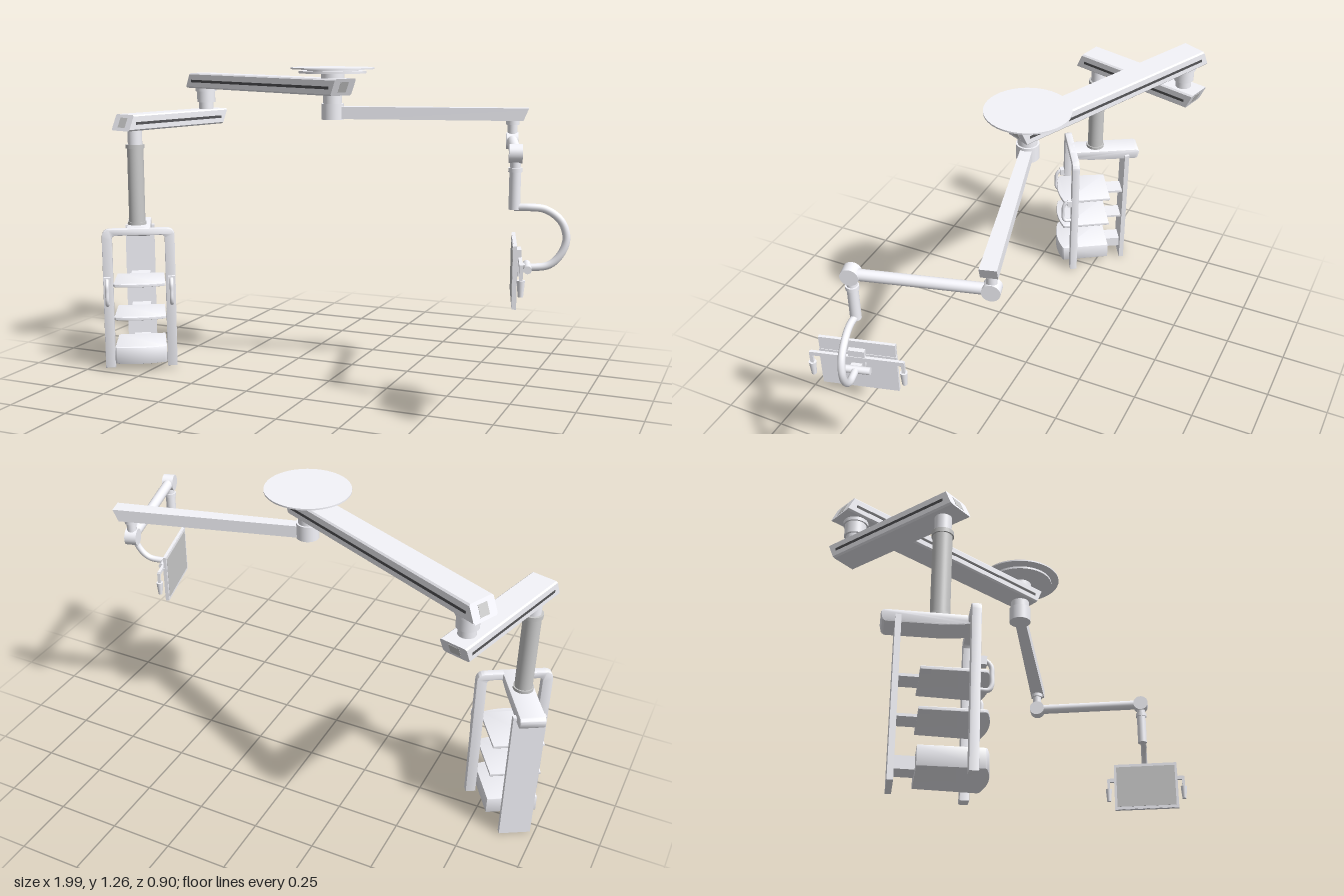
import * as THREE from 'three';
import { toCreasedNormals } from 'three/addons/utils/BufferGeometryUtils.js';

const paint = (color) => new THREE.MeshStandardMaterial({ color, side: THREE.DoubleSide });
const light = paint(0xf5f5fb), grey = paint(0xcccccc), dark = paint(0x555558);
const V = (x, y, z) => new THREE.Vector3(x, y, z);

function add(parent, name, geo, x = 0, y = 0, z = 0, mat = light) {
  const m = new THREE.Mesh(geo, mat);
  m.name = name;
  m.position.set(x, y, z);
  parent.add(m);
  return m;
}
const box = (p, name, w, h, d, x, y, z, mat) => add(p, name, new THREE.BoxGeometry(w, h, d), x, y, z, mat);
// Upright cylinder between two heights
const post = (p, name, r, y0, y1, [x, z], mat) =>
  add(p, name, new THREE.CylinderGeometry(r, r, y1 - y0, 40), x, (y0 + y1) / 2, z, mat);
const tube = (p, name, pts, r, n = 40) =>
  add(p, name, new THREE.TubeGeometry(new THREE.CatmullRomCurve3(pts), n, r, 14));
const extrude = (shape, depth, bevel = 0) => toCreasedNormals(new THREE.ExtrudeGeometry(shape, {
  depth, curveSegments: 16, bevelEnabled: bevel > 0, bevelSize: bevel, bevelThickness: bevel,
  bevelOffset: -bevel, bevelSegments: 2 }), 0.6);

// Group whose +z points along (dx, dz)
function aimed(parent, name, x, y, z, dx, dz) {
  const g = new THREE.Group();
  g.name = name;
  g.position.set(x, y, z);
  g.rotation.y = Math.atan2(dx, dz);
  parent.add(g);
  return g;
}

// Heavy boom: chamfered bar with raked ends, dark side slots and end panels
function boom(root, name, from, to, y, w, over) {
  const dx = to[0] - from[0], dz = to[1] - from[1], len = Math.hypot(dx, dz);
  const g = aimed(root, name, from[0], y, from[1], dx, dz);
  const h = 0.033, c = 0.006;
  const section = new THREE.Shape([[w - c, -h], [w, -h + c], [w, h - c], [w - c, h], [c - w, h], [-w, h - c], [-w, c - h], [c - w, -h]]
    .map(([px, py]) => new THREE.Vector2(px, py)));
  const rake = (geo) => {
    const p = geo.attributes.position;
    for (let i = 0; i < p.count; i++) p.setZ(i, p.getZ(i) - p.getY(i) * 0.45);
    geo.computeVertexNormals();
    return geo;
  };
  const total = len + 2 * over;
  add(g, name + 'Bar', rake(extrude(section, total).translate(0, 0, -over)));
  for (const s of [-1, 1]) {
    box(g, name + 'Slot', 0.002, 0.011, total - 0.05, s * w, -0.002, len / 2, dark);
    const panel = new THREE.BoxGeometry(0.042, 0.04, 0.002).translate(0, 0, len / 2 + s * total / 2);
    add(g, name + 'EndPanel', rake(panel), 0, 0, 0, grey);
  }
}

function buildRack(root) {
  const g = aimed(root, 'rack', -0.8, 0, 0.141, 0.513, 0.858);
  // Cantilever that hangs the rack from the column
  const side = new THREE.Shape();
  side.moveTo(-0.01, 0.6);
  side.lineTo(0.285, 0.6);
  side.quadraticCurveTo(0.302, 0.598, 0.302, 0.585);
  side.lineTo(0.297, 0.562);
  side.quadraticCurveTo(0.292, 0.553, 0.28, 0.553);
  side.lineTo(0.1, 0.555);
  side.quadraticCurveTo(0.03, 0.558, -0.01, 0.572);
  add(g, 'rackCantilever', extrude(side, 0.088, 0.005).translate(0, 0, -0.044).rotateY(Math.PI / 2));

  // Inverted U frame with rounded shoulders
  const o = 0.149, i = 0.108, u = new THREE.Shape();
  u.moveTo(-o, 0.01);
  u.lineTo(-o, 0.565);
  u.quadraticCurveTo(-o, 0.6, -o + 0.035, 0.6);
  u.lineTo(o - 0.035, 0.6);
  u.quadraticCurveTo(o, 0.6, o, 0.565);
  u.lineTo(o, 0.01);
  u.lineTo(i, 0.01);
  u.lineTo(i, 0.555);
  u.quadraticCurveTo(i, 0.572, i - 0.016, 0.572);
  u.lineTo(-i + 0.016, 0.572);
  u.quadraticCurveTo(-i, 0.572, -i, 0.555);
  u.lineTo(-i, 0.01);
  add(g, 'frontFrame', extrude(u, 0.026, 0.003), 0, 0, -0.013);

  // Rear upright
  box(g, 'rearUpright', 0.124, 0.575, 0.02, 0, 0.2875, -0.245);

  // Shelves and base unit share one plan with a gently bowed front
  const plan = new THREE.Shape();
  plan.moveTo(-0.1, -0.17);
  plan.lineTo(0.1, -0.17);
  plan.lineTo(0.107, 0.035);
  plan.quadraticCurveTo(0.107, 0.046, 0.096, 0.048);
  plan.quadraticCurveTo(0, 0.078, -0.096, 0.048);
  plan.quadraticCurveTo(-0.107, 0.046, -0.107, 0.035);
  const slab = (name, top, h, bevel) =>
    add(g, name, extrude(plan, h - 2 * bevel, bevel).rotateX(Math.PI / 2), 0, top - bevel, 0);
  for (const y of [0.235, 0.375]) {
    slab('shelf', y, 0.013, 0.003);
    box(g, 'shelfBracket', 0.08, 0.01, 0.07, 0, y - 0.007, -0.2);
  }
  slab('baseUnit', 0.105, 0.07, 0.003);
  box(g, 'baseBracket', 0.07, 0.045, 0.07, 0, 0.07, -0.2);

  // Grab handles on the posts
  for (const s of [-1, 1]) {
    const x = s * 0.132;
    tube(g, 'grabHandle', [V(x, 0.385, 0.01), V(x, 0.388, 0.034), V(x, 0.37, 0.05), V(x, 0.34, 0.052),
      V(x, 0.305, 0.052), V(x, 0.288, 0.042), V(x, 0.287, 0.01)], 0.008);
    box(g, 'handleLug', 0.03, 0.03, 0.03, x, 0.385, 0.02);
  }
}

function buildMonitor(root) {
  const g = aimed(root, 'monitor', 0.816, 0, 0.275, 0.966, -0.26);
  box(g, 'monitorBody', 0.284, 0.162, 0.014, 0, 0.556, 0);
  box(g, 'monitorTop', 0.28, 0.055, 0.012, 0, 0.664, -0.001);
  box(g, 'screenBezel', 0.282, 0.214, 0.002, 0, 0.583, -0.0075);
  box(g, 'screen', 0.262, 0.19, 0.002, 0, 0.583, -0.0085, grey);
  box(g, 'rearMount', 0.06, 0.07, 0.018, 0, 0.625, 0.014);
  box(g, 'mountArm', 0.04, 0.026, 0.035, 0, 0.592, 0.025);
  const hinge = new THREE.CylinderGeometry(0.014, 0.014, 0.11, 24).rotateZ(Math.PI / 2);
  add(g, 'tiltHinge', hinge, 0, 0.594, 0.045);
  // Cross bar with a hanging grip at each end
  box(g, 'handleBar', 0.34, 0.016, 0.012, 0, 0.625, 0.019);
  for (const s of [-1, 1]) {
    box(g, 'barEnd', 0.012, 0.05, 0.012, s * 0.168, 0.606, 0.019);
    add(g, 'grip', new THREE.CylinderGeometry(0.014, 0.009, 0.057, 24), s * 0.168, 0.554, 0.019);
  }
}

export function createModel() {
  const root = new THREE.Group();
  root.name = 'ceilingPendant';
  const hub = [0.01, -0.012], elbow = [-0.75, -0.365], column = [-0.86, 0.052];

  // Ceiling mount and central spindle
  post(root, 'ceilingPlate', 0.163, 1.259, 1.265, hub);
  post(root, 'plateSpacer', 0.1, 1.25, 1.26, hub);
  post(root, 'lowerPlate', 0.132, 1.243, 1.252, hub);
  post(root, 'spindle', 0.046, 1.215, 1.245, hub);
  post(root, 'spindleCollar', 0.037, 1.11, 1.16, hub);
  post(root, 'monitorHub', 0.044, 1.063, 1.125, hub);

  // Heavy supply booms, elbow and column
  boom(root, 'upperBoom', hub, elbow, 1.19, 0.055, 0.061);
  boom(root, 'lowerBoom', elbow, column, 1.032, 0.053, 0.065);
  post(root, 'elbowFlange', 0.046, 1.143, 1.16, elbow);
  post(root, 'elbowBody', 0.04, 1.095, 1.145, elbow);
  post(root, 'elbowNeck', 0.032, 1.06, 1.1, elbow);
  post(root, 'columnNeck', 0.03, 0.93, 1.005, column);
  post(root, 'columnCollar', 0.039, 0.922, 0.938, column, grey);
  post(root, 'column', 0.034, 0.6, 0.925, column, grey);
  post(root, 'columnFoot', 0.039, 0.595, 0.612, column, grey);
  buildRack(root);

  // Slim monitor arm, widening toward its raked outer end
  const wrist = [0.683, -0.195], drop = [0.81, 0.27];
  const slim = aimed(root, 'slimArm', hub[0], 1.09, hub[1], wrist[0] - hub[0], wrist[1] - hub[1]);
  const bar = new THREE.BoxGeometry(0.06, 0.048, 0.757).translate(0, 0, 0.3785);
  const p = bar.attributes.position;
  for (let i = 0; i < p.count; i++) {
    if (p.getZ(i) < 0.1) p.setX(i, p.getX(i) * 0.72);
    else if (p.getY(i) < 0) p.setZ(i, 0.737);
  }
  bar.computeVertexNormals();
  add(slim, 'slimArmBar', bar);
  post(root, 'wristCollar', 0.025, 1.05, 1.07, wrist);
  post(root, 'wristPin', 0.019, 0.985, 1.055, wrist);

  // Round forearm between two barrel joints
  const dx = drop[0] - wrist[0], dz = drop[1] - wrist[1], len = Math.hypot(dx, dz);
  const fore = aimed(root, 'forearm', wrist[0], 0.988, wrist[1], dx, dz);
  add(fore, 'forearmTube', new THREE.CylinderGeometry(0.021, 0.021, len, 32).rotateX(Math.PI / 2), 0, 0, len / 2);
  for (const z of [0, len])
    add(fore, 'barrelJoint', new THREE.CylinderGeometry(0.033, 0.033, 0.046, 32).rotateZ(Math.PI / 2), 0, 0, z);
  post(root, 'dropNeck', 0.018, 0.92, 0.98, drop);
  post(root, 'dropCollar', 0.024, 0.925, 0.94, drop);
  post(root, 'dropTube', 0.02, 0.795, 0.93, drop);

  // Curved hanger to the back of the monitor
  tube(root, 'curvedHanger', [V(0.81, 0.802, 0.27), V(0.86, 0.804, 0.262), V(0.915, 0.797, 0.246), V(0.966, 0.758, 0.233),
    V(0.985, 0.7, 0.227), V(0.97, 0.645, 0.232), V(0.93, 0.603, 0.243), V(0.855, 0.592, 0.264)], 0.0135, 60);
  buildMonitor(root);
  return root;
}
